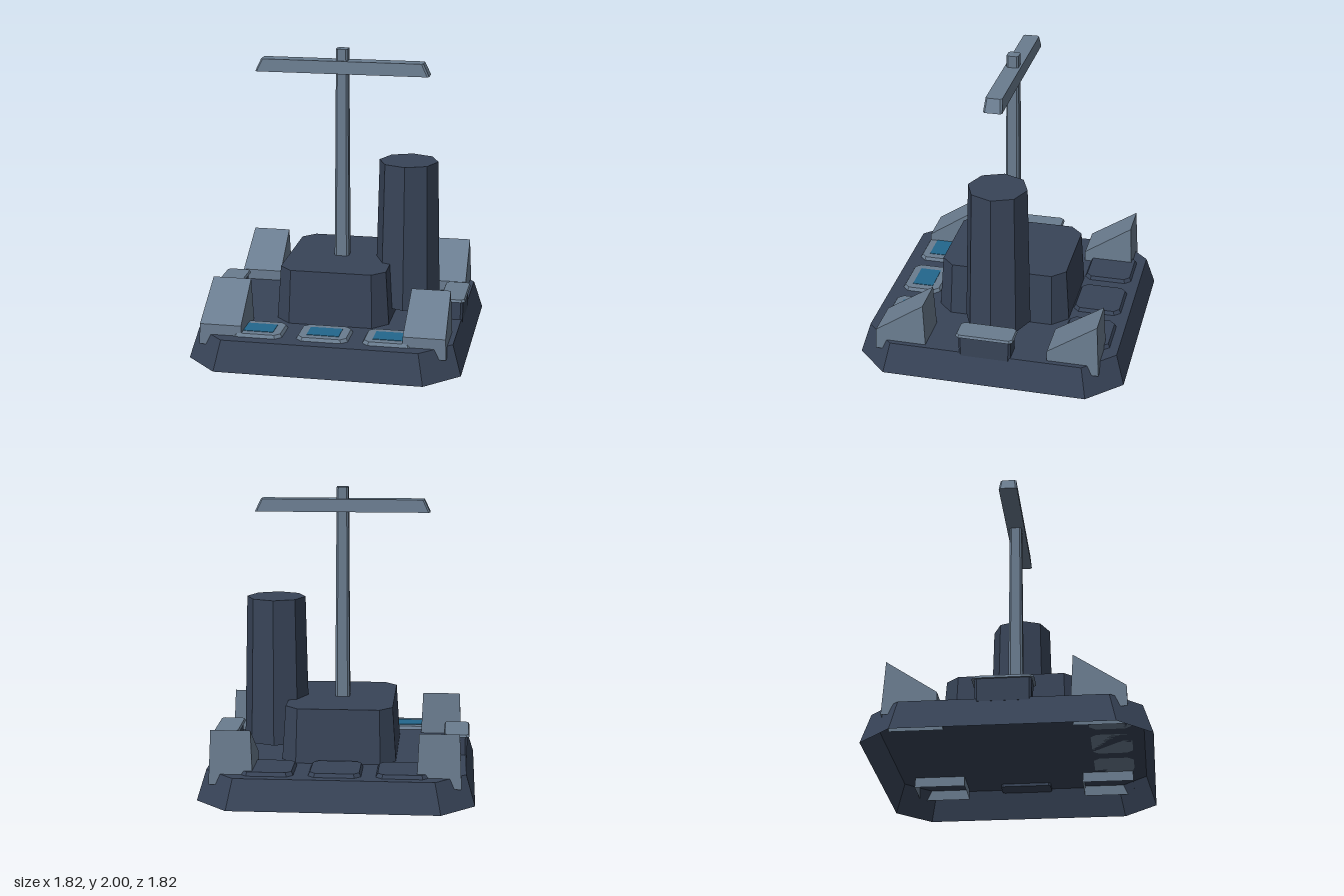
import * as THREE from 'three';

const mat = (name, color) => {
  const m = new THREE.MeshStandardMaterial({ color, side: THREE.DoubleSide, flatShading: true });
  m.name = name;
  return m;
};

// Joins two matching rings of points (counterclockwise from above) with flat faces.
function loft(bottom, top, closeBottom = true) {
  const pos = [];
  const tri = (a, b, c) => pos.push(...a, ...b, ...c);
  const n = bottom.length;
  for (let i = 0; i < n; i++) {
    const j = (i + 1) % n;
    tri(bottom[i], bottom[j], top[j]);
    tri(bottom[i], top[j], top[i]);
    if (i > 0 && i < n - 1) {
      tri(top[0], top[i], top[i + 1]);
      if (closeBottom) tri(bottom[0], bottom[i + 1], bottom[i]);
    }
  }
  const g = new THREE.BufferGeometry();
  g.setAttribute('position', new THREE.Float32BufferAttribute(pos, 3));
  g.computeVertexNormals();
  return g;
}

// Rectangle with cut corners: half width x, half depth z, corner cut c.
const ring = (x, z, c, y) => [
  [-x + c, y, z], [x - c, y, z], [x, y, z - c], [x, y, -z + c],
  [x - c, y, -z], [-x + c, y, -z], [-x, y, -z + c], [-x, y, z - c],
];

// Tapered block from [x, z, cut, y] at the bottom to [x, z, cut, y] at the top.
const block = (b, t, closed = true) => loft(ring(...b), ring(...t), closed);

export function createModel() {
  const model = new THREE.Group();
  model.name = 'platform';
  const dark = mat('dark slate', 0x384458);
  const light = mat('light steel', 0x6a7c8f);
  const blue = mat('blue glass', 0x22678c);

  const add = (name, geometry, material, x = 0, y = 0, z = 0) => {
    const m = new THREE.Mesh(geometry, material);
    m.name = name;
    m.position.set(x, y, z);
    model.add(m);
    return m;
  };

  // Hollow base and central housing
  add('base', block([0.91, 0.91, 0.22, 0], [0.85, 0.85, 0.2, 0.2], false), dark);
  add('housing', block([0.382, 0.455, 0.1, 0.2], [0.358, 0.43, 0.085, 0.565]), dark);

  // Mast with crossbar
  add('mast', block([0.05, 0.05, 0.015, 0.5], [0.04, 0.04, 0.012, 2]), light);
  add('crossbar', block([0.59, 0.062, 0.012, 1.835], [0.55, 0.054, 0.012, 1.92]), light);

  // Eight-sided chimney, slightly raised off the deck
  add('chimney', new THREE.CylinderGeometry(0.2, 0.224, 0.995, 8), dark, 0.455, 0.7525, 0);

  // Corner wedges, all sloping towards the front
  const wedge = loft(
    [[-0.145, 0.13, 0.175], [0.145, 0.13, 0.175], [0.145, 0.13, -0.175], [-0.145, 0.13, -0.175]],
    [[-0.139, 0.27, 0.172], [0.139, 0.27, 0.172], [0.13, 0.49, -0.155], [-0.13, 0.49, -0.155]],
    false
  );
  for (const side of [-1, 1]) {
    for (const z of [0.585, -0.585]) add('cornerWedge', wedge, light, side * 0.675, 0, z);

    // Side lockers with overhanging lids
    add('locker', block([0.07, 0.175, 0.015, 0.18], [0.072, 0.178, 0.015, 0.33]), dark, side * 0.787);
    add('lockerLid', block([0.087, 0.195, 0.02, 0.328], [0.08, 0.187, 0.02, 0.345]), light, side * 0.787);
  }

  // Front windows and rear deck panels
  const frame = block([0.172, 0.135, 0.04, 0.2], [0.16, 0.123, 0.035, 0.222]);
  const panel = block([0.172, 0.165, 0.04, 0.2], [0.16, 0.153, 0.035, 0.225]);
  const glass = new THREE.BoxGeometry(0.215, 0.006, 0.145);
  for (const x of [-0.44, 0, 0.44]) {
    add('windowFrame', frame, light, x, 0, 0.635);
    add('windowGlass', glass, blue, x, 0.222, 0.635);
    add('deckPanel', panel, dark, x, 0, -0.625);
  }
  return model;
}
